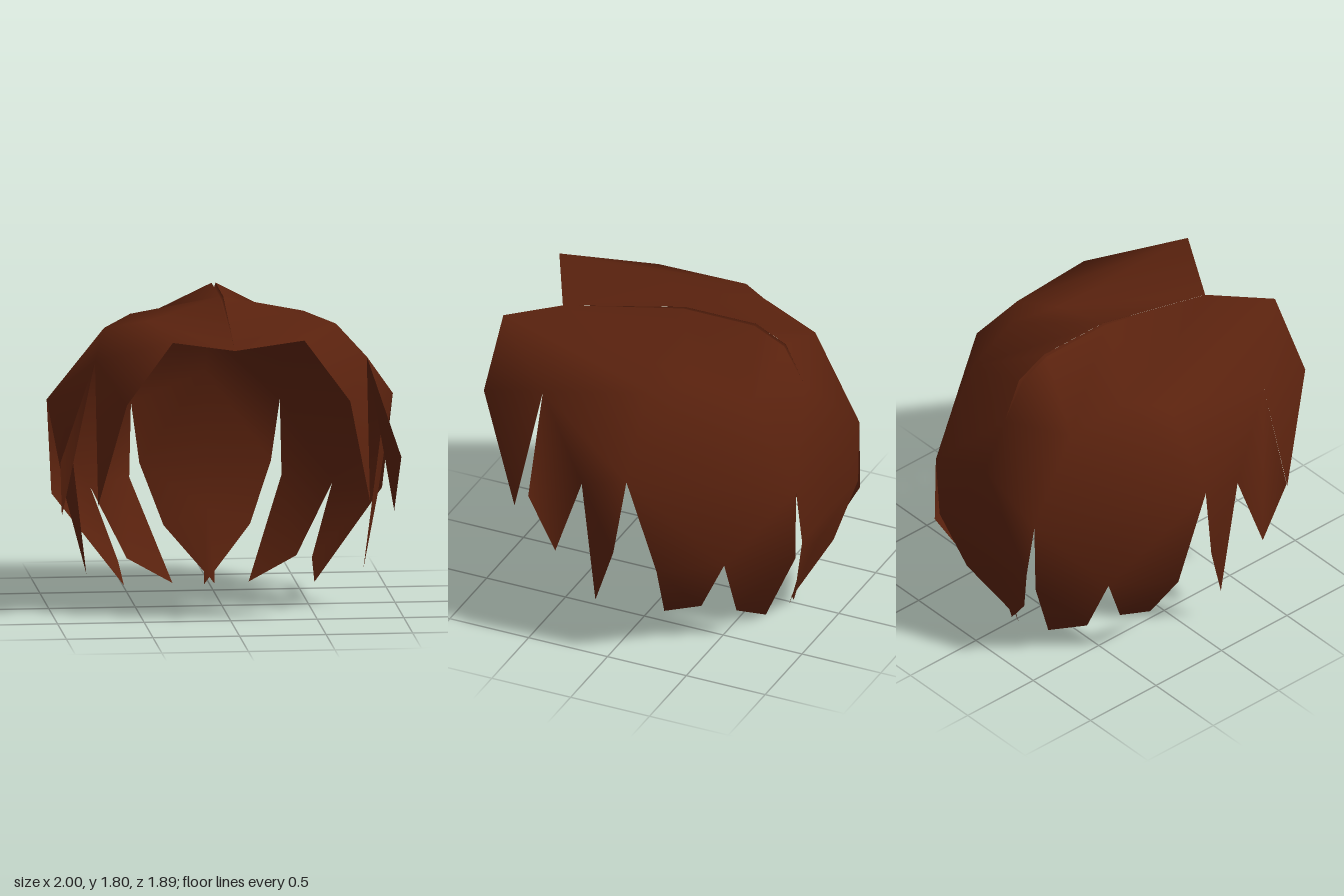
import * as THREE from 'three';

// Key points of the left half (+x); the right half is mirrored.
const P = {
  // centre line, front to back
  C0: [0, 1.62, 0.75], C1: [0.01, 1.8, -0.02], C2: [0.012, 1.8, -0.47], C3: [0.012, 1.71, -0.66],
  Cm: [0, 1.48, -0.78], C4: [0, 1.2, -0.93], C5: [0, 0.67, -0.945], C6: [0, 0.42, -0.85],
  // shoulder of the crown
  A0: [0.38, 1.71, 0.95], H: [0.42, 1.67, 0], S: [0.785, 1.53, 0.51],
  B: [0.67, 1.615, -0.1], E: [0.5, 1.66, -0.29], F: [0.43, 1.56, -0.65],
  // widest ring and the notches between locks
  G: [0.9, 1.05, 0.21], W: [1, 1.2, -0.12], K: [0.43, 1.03, -0.93], N: [0.7, 0.6, -0.6],
  // lock corners and tips
  D0: [0.645, 1.35, 0.95], T1: [0.785, 0.72, 0.69],
  Q0: [0.985, 0.94, 0.51], T2: [0.96, 0.6, 0.35],
  T3: [0.8, 0.23, 0.17], Q: [0.9, 0.64, 0.01],
  R: [0.955, 0.62, -0.29], T4: [0.55, 0.1, -0.15], U: [0.56, 0.2, -0.39],
  V: [0.49, 0.18, -0.58], T5: [0.22, 0.02, -0.64], M: [0.44, 0.59, -0.93],
  L1: [0.38, 0.67, -0.945], L2: [0.25, 0.32, -0.85], L3: [0.03, 0.07, -0.72],
  L4: [0.03, 0, -0.7], X: [0, 0.04, -0.7],
  // parting groove: rims and floor
  g0: [0, 1.619, 0.75], g1: [0.01, 1.799, -0.02], g2: [0.012, 1.799, -0.47],
  g3: [0.012, 1.709, -0.66], gm: [0, 1.479, -0.78],
  f1: [0, 1.77, -0.02], f2: [0, 1.77, -0.46], f3: [0, 1.68, -0.64],
};

// Triangles of each part, by point name
const PARTS = {
  crown: 'C0 A0 H, C0 H C1, A0 S B, A0 B H, H B E, H E C1, E F C1, C1 F C2, C2 F C3',
  sideHair: 'S G W, S W B, B W E, E W F, F W K',
  backHair: 'C3 F Cm, Cm F K, Cm K C4, W N K, K N M',
  frontLock: 'A0 D0 S, D0 T1 S',
  templeLock: 'S Q0 T2, S T2 G',
  earLock: 'G T3 Q, G Q W',
  sideLock: 'W R N, R T4 U, R U N',
  rearLock: 'N V M, V T5 M',
  napeLock: 'C4 K L1, C4 L1 C5, C5 L1 C6, L1 L2 C6, L2 L3 C6, C6 L3 X, L3 L4 X',
  partingGroove: 'g0 g1 f1, g1 g2 f2, g1 f2 f1, g2 g3 f3, g2 f3 f2, g3 gm f3',
};

const MIDDLE = new THREE.Vector3(0, 0.9, 0);

// Both halves of a part as outward-facing triangles
function triangles(list) {
  const out = [];
  for (const side of [1, -1]) {
    for (const names of list.split(', ')) {
      const t = names.split(' ').map((n) => new THREE.Vector3(P[n][0] * side, P[n][1], P[n][2]));
      const normal = t[1].clone().sub(t[0]).cross(t[2].clone().sub(t[0]));
      const outward = t[0].clone().add(t[1]).add(t[2]).divideScalar(3).sub(MIDDLE);
      if (normal.dot(outward) < 0) {
        t.reverse();
        normal.negate();
      }
      out.push({ t, normal });
    }
  }
  return out;
}

const key = (v) => v.toArray().map((n) => Math.round(n * 1000) + 0).join();

export function createModel() {
  const group = new THREE.Group();
  group.name = 'hair';
  const brown = new THREE.MeshStandardMaterial({ color: 0x5a220e, side: THREE.DoubleSide });
  brown.name = 'chestnut brown';

  // Smooth normals shared across neighbouring parts
  const normals = new Map();
  const parts = Object.entries(PARTS).map(([name, list]) => [name, triangles(list)]);
  for (const [, tris] of parts) {
    for (const { t, normal } of tris) {
      for (const v of t) {
        const k = key(v);
        if (!normals.has(k)) normals.set(k, new THREE.Vector3());
        normals.get(k).add(normal);
      }
    }
  }

  for (const [name, tris] of parts) {
    const pos = [], nor = [];
    for (const { t } of tris) {
      for (const v of t) {
        pos.push(v.x, v.y, v.z);
        nor.push(...normals.get(key(v)).clone().normalize().toArray());
      }
    }
    const geo = new THREE.BufferGeometry();
    geo.setAttribute('position', new THREE.Float32BufferAttribute(pos, 3));
    geo.setAttribute('normal', new THREE.Float32BufferAttribute(nor, 3));
    const mesh = new THREE.Mesh(geo, brown);
    mesh.name = name;
    group.add(mesh);
  }
  return group;
}
